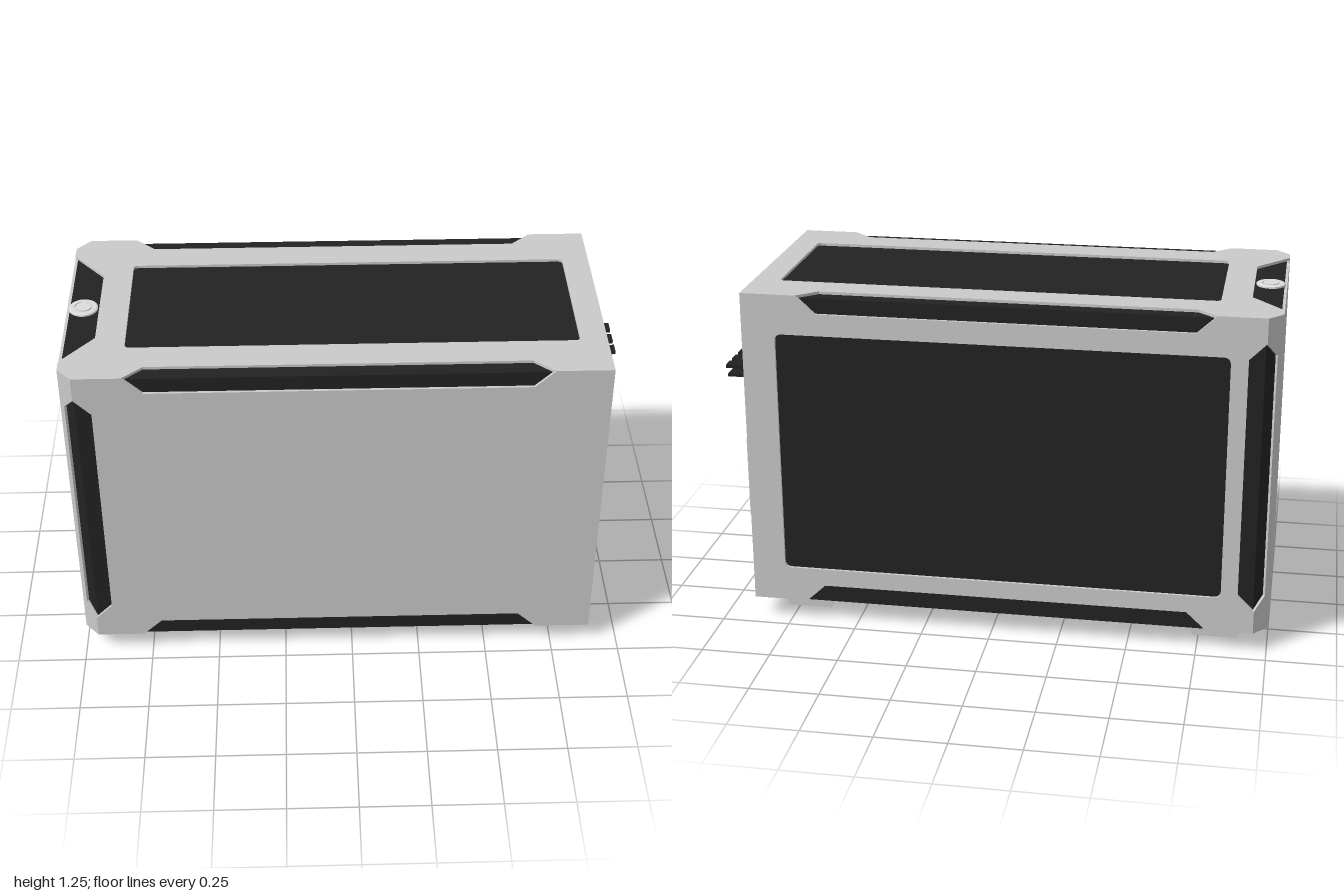
import * as THREE from 'three';

const T = 0.01;                                   // shell thickness
const X0 = -1, XC = -0.95, X1 = 0.89;             // end, chamfer start, open end
const Y0 = 0.075, Y1 = 1.25, Z = 0.445, ZC = 0.39;

const mat = (name, color) => Object.assign(new THREE.MeshStandardMaterial({ color }), { name });
const V = (x, y, z) => new THREE.Vector3(x, y, z);

// Closed path from corner points, with optional small corner radius
function path(pts, r = 0, Type = THREE.Shape) {
  const p = new Type();
  const n = pts.length;
  pts.forEach((c, i) => {
    const P = new THREE.Vector2(...c);
    if (!r) { i ? p.lineTo(P.x, P.y) : p.moveTo(P.x, P.y); return; }
    const a = new THREE.Vector2(...pts[(i + n - 1) % n]).sub(P).setLength(r).add(P);
    const b = new THREE.Vector2(...pts[(i + 1) % n]).sub(P).setLength(r).add(P);
    i ? p.lineTo(a.x, a.y) : p.moveTo(a.x, a.y);
    p.quadraticCurveTo(P.x, P.y, b.x, b.y);
  });
  p.closePath();
  return p;
}
const rect = (a, b, c, d) => [[a, c], [b, c], [b, d], [a, d]];

export function createModel() {
  const model = new THREE.Group();
  model.name = 'deviceEnclosure';
  const silver = mat('silver shell', 0xcacaca);
  const dark = mat('dark body', 0x222222);
  const metal = mat('bright metal', 0xdcdcdc);

  const add = (name, geo, m) => {
    const mesh = new THREE.Mesh(geo, m);
    mesh.name = name;
    model.add(mesh);
    return mesh;
  };
  // Extrude a flat outline along u x v, starting at origin
  const panel = (name, m, shape, depth, origin, u, v) => {
    const geo = new THREE.ExtrudeGeometry(shape, { depth, bevelEnabled: false, curveSegments: 4 });
    const n = u.clone().cross(v);
    geo.applyMatrix4(new THREE.Matrix4().makeBasis(u, v, n).setPosition(origin));
    return add(name, geo, m);
  };
  const box = (name, m, x0, x1, y0, y1, z0, z1) => {
    const geo = new THREE.BoxGeometry(x1 - x0, y1 - y0, z1 - z0);
    geo.translate((x0 + x1) / 2, (y0 + y1) / 2, (z0 + z1) / 2);
    return add(name, geo, m);
  };
  const UP = V(0, 1, 0);

  // Dark inner body, visible through the shell cutouts
  const zi = Z - T, xi = X0 + T, bodyEnd = 0.78;
  panel('innerBody', dark, path([
    [bodyEnd, -zi], [bodyEnd, zi], [XC + 0.004, zi], [xi, ZC - 0.004], [xi, -ZC + 0.004], [XC + 0.004, -zi],
  ]), Y1 - T - Y0, V(0, Y0, 0), V(1, 0, 0), V(0, 0, -1));

  // Dark end plate with the card opening
  const endShape = path(rect(-zi, zi, Y0, Y1 - T));
  endShape.holes.push(path(rect(0, 0.355, 0.905, 1.005), 0, THREE.Path));
  panel('endPlate', dark, endShape, X1 - bodyEnd, V(bodyEnd, 0, 0), V(0, 0, -1), UP);

  // Top shell: edge notches, end notch and window
  const topShape = path([
    [X1, -Z], [X1, Z], [0.69, Z], [0.62, 0.38], [-0.71, 0.38], [-0.78, Z], [XC, Z], [X0, ZC],
    [X0, 0.34], [-0.885, 0.2], [-0.885, -0.2], [X0, -0.34], [X0, -ZC], [XC, -Z],
    [-0.78, -Z], [-0.71, -0.38], [0.62, -0.38], [0.69, -Z],
  ]);
  topShape.holes.push(path(rect(-0.78, 0.795, -0.262, 0.265), 0.018, THREE.Path));
  panel('topShell', silver, topShape, T, V(0, Y1 - T, 0), V(1, 0, 0), V(0, 0, -1));

  // Long side shells and chamfered corner strips, front and back
  const side = [
    [X1, Y0], [X1, Y1], [0.69, Y1], [0.62, 1.185], [-0.71, 1.185], [-0.78, Y1], [XC, Y1],
    [XC, 1.16], [-0.89, 1.1], [-0.89, 0.22], [XC, 0.16], [XC, Y0],
    [-0.78, Y0], [-0.71, 0.14], [0.62, 0.14], [0.69, Y0],
  ];
  const L = Math.hypot(XC - X0, Z - ZC);
  const strip = [[0, Y0], [L, Y0], [L, 0.16], [0.3 * L, 0.21], [0.3 * L, 1.11], [L, 1.16], [L, Y1], [0, Y1]];
  for (const s of [1, -1]) {
    const label = s > 0 ? 'front' : 'back';
    const shape = path(side.map(([x, y]) => [s * x, y]));
    if (s < 0) shape.holes.push(path(rect(-0.77, 0.83, 0.205, 1.105), 0.025, THREE.Path));
    panel(label + 'Shell', silver, shape, T, V(0, 0, s * (Z - T)), V(s, 0, 0), UP);

    const u = V(s * (XC - X0) / L, 0, (Z - ZC) / L);
    const start = s > 0 ? V(X0, 0, ZC) : V(XC, 0, -Z);
    start.addScaledVector(u.clone().cross(UP), -T);
    panel(label + 'CornerStrip', silver, path(strip.map(([a, y]) => [s > 0 ? a : L - a, y])), T, start, u, UP);
  }

  // Closed end shell, lowered where the top notch meets it
  panel('endShell', silver, path([
    [-ZC, Y0], [ZC, Y0], [ZC, Y1], [0.34, Y1], [0.34, Y1 - T], [-0.34, Y1 - T], [-0.34, Y1], [-ZC, Y1],
  ]), T, V(X0 + T, 0, 0), V(0, 0, 1), UP);

  // Round push button with a groove, set in the top notch
  const button = add('button', new THREE.LatheGeometry([
    [0.052, 0], [0.052, 0.006], [0.047, 0.009], [0.032, 0.009], [0.032, 0.003],
    [0.028, 0.003], [0.028, 0.01], [0, 0.01],
  ].map(p => new THREE.Vector2(...p)), 24), metal);
  button.position.set(-0.942, Y1 - T, 0);
  button.geometry = button.geometry.toNonIndexed();
  button.geometry.computeVertexNormals();

  // Four feet, tapered along the length
  for (const x of [-0.81, 0.708]) for (const z of [-0.273, 0.273]) {
    panel('foot', silver, path([[-0.08, 0], [0.08, 0], [0.123, Y0], [-0.123, Y0]]),
      0.136, V(x, 0, z - 0.068), V(1, 0, 0), UP);
  }

  // Card bracket with its small tab
  box('bracket', dark, X1, X1 + 0.003, 0.165, 0.885, -0.285, -0.14);
  panel('bracketTab', dark, path([[0.175, 0.165], [0.24, 0.165], [0.24, 0.225], [0.175, 0.2]]),
    0.003, V(X1 + 0.003, 0, 0), V(0, 0, -1), UP);

  // Hollow socket and its two hex posts
  const socket = path(rect(0.153, 0.255, 0.318, 0.638), 0.015);
  socket.holes.push(path(rect(0.168, 0.241, 0.352, 0.604), 0.006, THREE.Path));
  panel('socket', metal, socket, 0.065, V(X1, 0, 0), V(0, 0, -1), UP);
  for (const y of [0.295, 0.662]) {
    const post = add('hexPost', new THREE.CylinderGeometry(0.018, 0.018, 0.065, 6).toNonIndexed(), metal);
    post.geometry.computeVertexNormals();
    post.rotation.z = -Math.PI / 2;
    post.position.set(X1 + 0.0325, y, -0.213);
  }

  // Card edge projecting from the opening
  box('cardBase', dark, bodyEnd, 0.977, 0.907, 0.918, -0.357, 0);
  box('cardTop', dark, X1, 0.98, 0.922, 0.934, -0.31, -0.118);
  for (const [a, b] of [[-0.31, -0.262], [-0.235, -0.19], [-0.163, -0.118]])
    box('cardFinger', dark, 0.98, 1, 0.922, 0.934, a, b);
  // Metal cover inside the opening
  box('cardCover', metal, bodyEnd, X1, 0.934, 0.942, -0.318, -0.105);
  for (const z of [-0.318, -0.111]) box('cardCoverLeg', metal, bodyEnd, X1, 0.918, 0.934, z, z + 0.006);

  return model;
}
